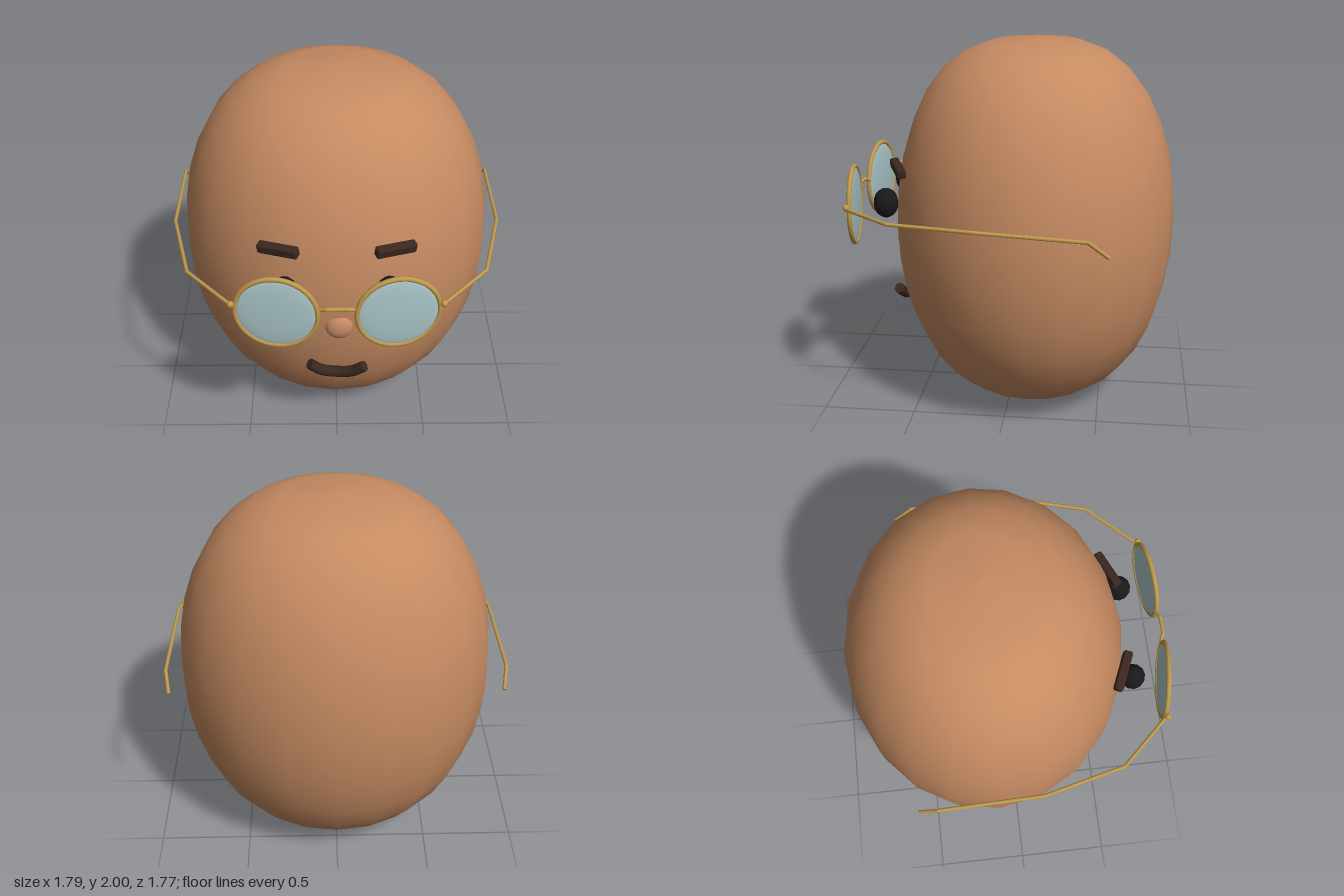
import * as THREE from 'three';
import { mergeGeometries } from 'three/addons/utils/BufferGeometryUtils.js';
import { RoundedBoxGeometry } from 'three/addons/geometries/RoundedBoxGeometry.js';

const material = (name, color, side = THREE.FrontSide) => {
  const m = new THREE.MeshStandardMaterial({ color, side });
  m.name = name;
  return m;
};
const v = (x, y, z) => new THREE.Vector3(x, y, z);

// Straight capped rod between two points
function rod(a, b, r) {
  const dir = b.clone().sub(a);
  const g = new THREE.CylinderGeometry(r, r, dir.length(), 8);
  g.applyQuaternion(new THREE.Quaternion().setFromUnitVectors(v(0, 1, 0), dir.normalize()));
  const mid = a.clone().add(b).multiplyScalar(0.5);
  return g.translate(mid.x, mid.y, mid.z);
}

// Bent wire: rods with round joints
function wire(points, r) {
  const parts = [];
  points.forEach((p, i) => {
    if (i > 0) parts.push(rod(points[i - 1], p, r));
    if (i > 0 && i < points.length - 1) parts.push(new THREE.SphereGeometry(r, 8, 6).translate(p.x, p.y, p.z));
  });
  return mergeGeometries(parts);
}

export function createModel() {
  const skin = material('skin', 0xc68b62);
  const noseSkin = material('nose skin', 0xc98c66);
  const hair = material('dark brown', 0x3a281f);
  const black = material('eye black', 0x1a1a1c);
  const gold = material('gold wire', 0xc09a4c);
  const glass = material('lens glass', 0xabc6c8);

  const model = new THREE.Group();
  model.name = 'bespectacledHead';
  const add = (name, geometry, mat, parent = model) => {
    const mesh = new THREE.Mesh(geometry, mat);
    mesh.name = name;
    parent.add(mesh);
    return mesh;
  };

  // Head: a blunt egg, squeezed a little from front to back
  const profile = [];
  for (let i = 0; i <= 16; i++) {
    const a = (i / 16) * Math.PI;
    const r = i % 16 === 0 ? 0 : 0.85 * Math.pow(Math.sin(a), 0.7);
    profile.push(new THREE.Vector2(r, 1 - Math.cos(a)));
  }
  const headGeometry = new THREE.LatheGeometry(profile, 20).scale(1, 1, 0.77 / 0.85);
  add('head', headGeometry, skin).position.z = -0.12;

  // Nose: a shallow button
  const nose = add('nose', new THREE.SphereGeometry(0.074, 16, 12), noseSkin);
  nose.scale.z = 0.5;
  nose.position.set(0.012, 0.86, 0.631);

  // Mouth: a smiling tube with flat ends
  const smile = new THREE.CatmullRomCurve3([
    v(-0.145, 0.588, 0.622), v(-0.085, 0.538, 0.612), v(0, 0.518, 0.606),
    v(0.08, 0.538, 0.625), v(0.145, 0.588, 0.643),
  ]);
  const cap = (t) => {
    const p = smile.getPoint(t), d = smile.getTangent(t).multiplyScalar(0.003);
    return rod(p.clone().sub(d), p.clone().add(d), 0.03);
  };
  add('mouth', mergeGeometries([new THREE.TubeGeometry(smile, 16, 0.03, 8), cap(0), cap(1)]), hair);

  const glasses = new THREE.Group();
  glasses.name = 'glasses';
  model.add(glasses);

  for (const s of [-1, 1]) {
    const side = s > 0 ? 'left' : 'right';

    // Eye and eyebrow
    const eye = add(side + 'Eye', new THREE.SphereGeometry(0.068, 12, 10), black);
    eye.scale.y = 1.2;
    eye.position.set(s * 0.265, 1.128, 0.672);
    const brow = add(side + 'Eyebrow', new RoundedBoxGeometry(0.22, 0.055, 0.05, 2, 0.012), hair);
    brow.position.set(s * 0.294, 1.33, 0.593);
    brow.rotation.set(0.15, s * 0.38, -s * 0.13);

    // Rim and lens, turned slightly outward
    const frame = new THREE.Group();
    frame.name = side + 'Frame';
    frame.position.set(s * 0.3, 1.125, 0.835);
    frame.rotation.y = s * 0.12;
    glasses.add(frame);
    add(side + 'Rim', new THREE.TorusGeometry(0.206, 0.013, 8, 40), gold, frame);
    add(side + 'Lens', new THREE.SphereGeometry(0.205, 32, 16), glass, frame).scale.z = 0.09;

    // Hinge and temple arm
    const hinge = add(side + 'Hinge', new THREE.SphereGeometry(0.018, 10, 8), gold, glasses);
    hinge.position.set(s * 0.522, 1.167, 0.82);
    add(side + 'Temple', wire([
      v(s * 0.522, 1.155, 0.81), v(s * 0.765, 1.163, 0.55), v(s * 0.876, 1.172, 0.11),
      v(s * 0.886, 1.145, -0.45), v(s * 0.866, 1.065, -0.55),
    ], 0.01), gold, glasses);
  }

  // Bridge between the rims
  add('bridge', wire([
    v(-0.092, 1.155, 0.852), v(-0.05, 1.174, 0.87), v(0.05, 1.174, 0.87), v(0.092, 1.155, 0.852),
  ], 0.01), gold, glasses);

  return model;
}
